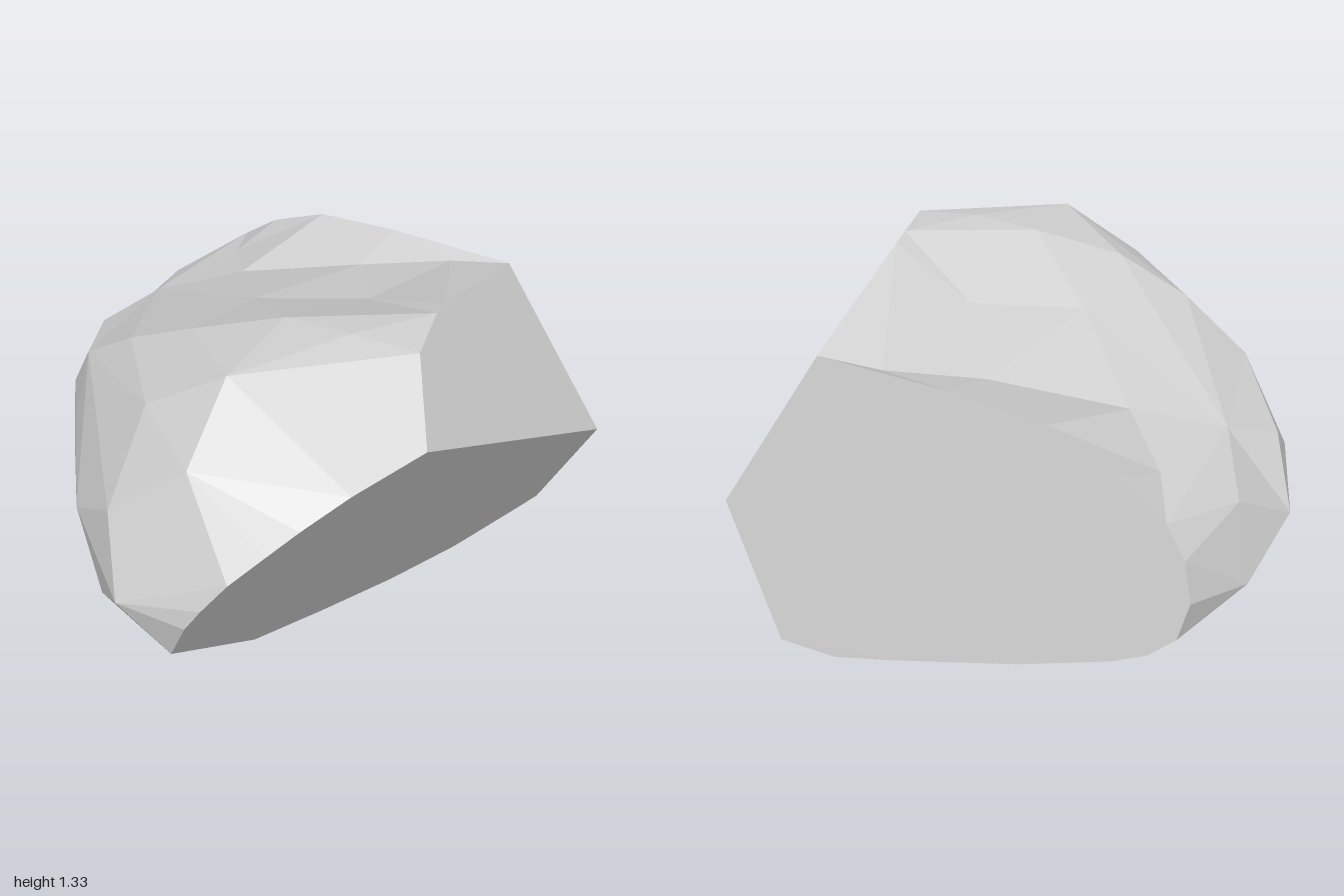
import * as THREE from 'three';
import { ConvexGeometry } from 'three/addons/geometries/ConvexGeometry.js';

// Three flat cuts through the rounded boulder: side, back and upper corner.
const onSide = ([z, y]) => [(0.329 + 0.458 * y - 0.073 * z) / 0.886, y, z];
const onBack = ([x, y]) => [x, y, (-0.883 - 0.196 * x + 0.16 * y) / 0.967];
const onCorner = ([x, z]) => [x, (1.243 - 0.737 * x + 0.391 * z) / 0.553, z];

// Outline of the side cut, as z, y
const sideRim = [
  [0.26, 1.165], [0.505, 1.10], [0.65, 1.02], [0.74, 0.95], [0.84, 0.87],
  [0.895, 0.765], [0.92, 0.68], [0.91, 0.51], [0.46, 0.18], [0.13, 0.096],
  [-0.25, 0.02], [-0.6, 0], [-0.91, 0.07], [-1, 0.096], [-0.965, 0.57],
];

// Outline of the back cut, as x, y
const backRim = [
  [0.28, 0.1], [0.04, 0.17], [-0.4, 0.31], [-0.71, 0.43], [-0.82, 0.49],
  [-0.9, 0.57], [-0.925, 0.7], [-0.89, 0.83], [-0.82, 0.93], [-0.66, 1.04],
  [-0.42, 1.14], [-0.09, 1.17], [0.38, 1.18],
];

// Upper edge of the corner cut, as x, z
const cornerRim = [[0.585, -0.21], [0.62, -0.13], [0.735, 0.07]];

// Rounded body: top, front and underside, as x, y, z
const top = [
  [0.405, 1.28, 0.54], [0.155, 1.11, 0.66], [0.5, 1.1, 0.775],
  [0.04, 1.22, 0.38], [-0.21, 1.1, 0.445], [-0.46, 0.94, 0.46],
  [-0.75, 0.84, 0.195], [-0.87, 0.85, -0.26], [0.53, 1.325, 0.15],
];
const front = [
  [0.415, 0.675, 1], [0.27, 0.89, 0.905], [0, 0.715, 0.85],
  [0.185, 0.5, 0.9], [-0.215, 0.557, 0.705], [-0.4, 0.73, 0.58],
  [-0.55, 0.54, 0.5], [-0.685, 0.68, 0.39], [-0.83, 0.55, 0.15],
  [-0.92, 0.69, 0], [-0.96, 0.62, -0.33], [0.61, 0.87, 0.86],
];
const underside = [
  [-0.02, 0.39, 0.7], [0.3, 0.33, 0.79], [-0.34, 0.41, 0.5],
  [-0.66, 0.46, 0.25], [-0.86, 0.5, -0.1], [-0.4, 0.28, 0.03],
  [0.03, 0.21, 0.48], [0.04, 0.14, -0.3], [0.3, 0.04, -0.5],
];

// Shallow hollow behind the crest, as x, domed y, z, settled y
const hollow = [
  [0.295, 1.33, 0.21, 1.305], [0.24, 1.32, -0.22, 1.19],
  [-0.06, 1.27, 0.03, 1.16], [-0.06, 1.25, -0.49, 1.11],
  [0.19, 1.21, -0.7, 1.15], [-0.44, 1.17, -0.24, 1.02],
  [-0.675, 1.07, -0.41, 0.96], [-0.675, 1.04, -0.015, 0.93],
];

export function createModel() {
  const group = new THREE.Group();
  group.name = 'rock';

  const stone = new THREE.MeshStandardMaterial({ color: 0xd2d2d2 });
  stone.name = 'stone grey';

  // Faceted boulder stretched over all the outlines
  const points = [
    ...sideRim.map(onSide), ...backRim.map(onBack), ...cornerRim.map(onCorner),
    ...top, ...front, ...underside, ...hollow,
  ].map(([x, y, z]) => new THREE.Vector3(x, y, z));
  const geometry = new ConvexGeometry(points);

  // Sink the domed vertices into the hollow
  const position = geometry.attributes.position;
  for (let i = 0; i < position.count; i++) {
    const vertex = new THREE.Vector3().fromBufferAttribute(position, i);
    const dip = hollow.find(([x, y, z]) => vertex.distanceTo(new THREE.Vector3(x, y, z)) < 1e-4);
    if (dip) position.setY(i, dip[3]);
  }
  geometry.computeVertexNormals();

  const boulder = new THREE.Mesh(geometry, stone);
  boulder.name = 'boulder';
  group.add(boulder);

  return group;
}
